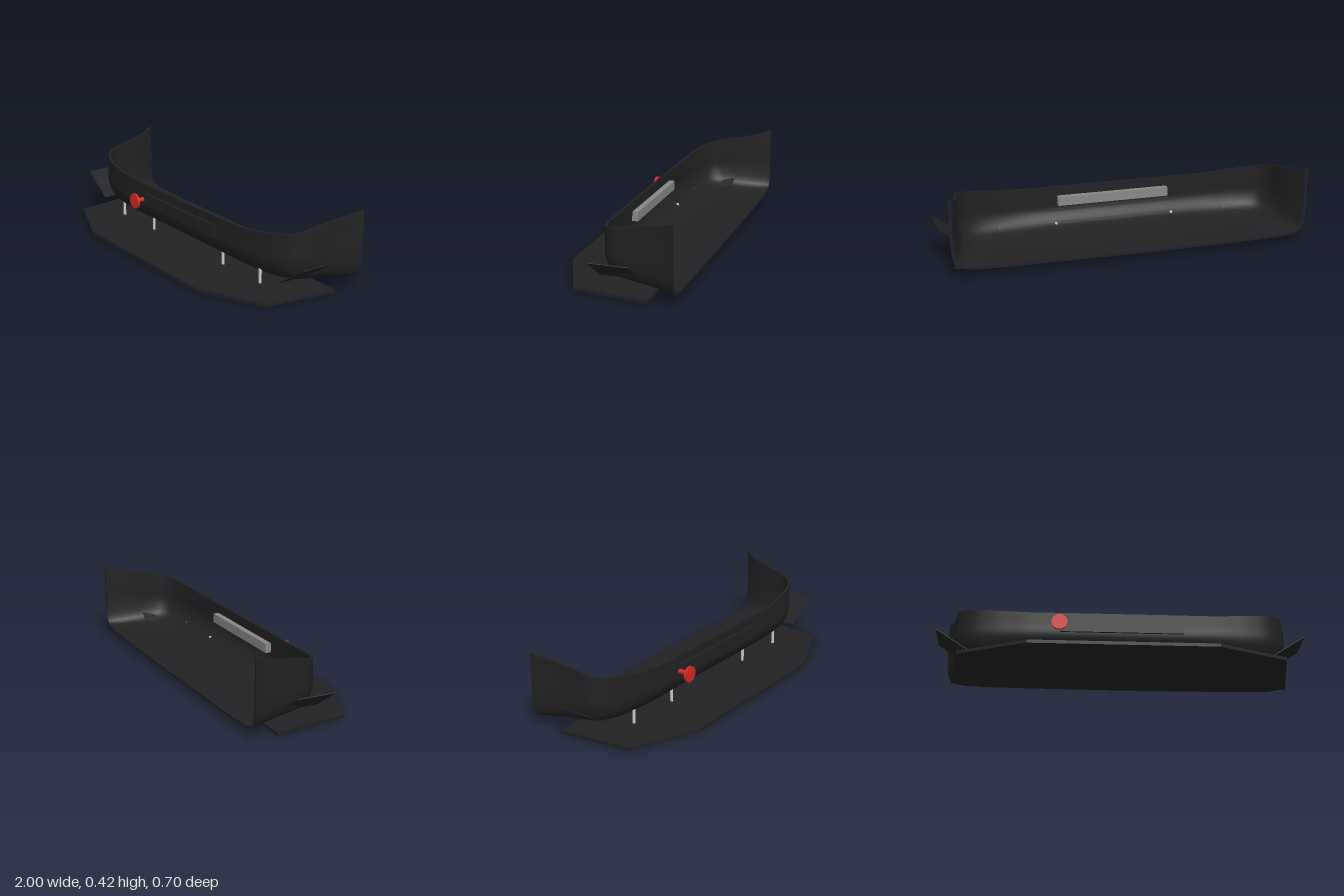
import * as THREE from 'three';
import { toCreasedNormals } from 'three/addons/utils/BufferGeometryUtils.js';

const mat = (color) => new THREE.MeshStandardMaterial({ color });
const black = mat(0x222224);
const grey = mat(0x888888);
const steel = mat(0xcccccc);
const red = mat(0xd82828);
const V = (x, y, z) => new THREE.Vector3(x, y, z);

function add(parent, name, geometry, material, x = 0, y = 0, z = 0) {
  const mesh = new THREE.Mesh(geometry, material);
  mesh.name = name;
  mesh.position.set(x, y, z);
  parent.add(mesh);
  return mesh;
}

// Curved bumper skin: a rim swept round the nose, each column rolling under into the floor
function bumperGeometry() {
  const half = [
    [0.33, 0.297, 0.1], [0.5, 0.298, 0.097], [0.6, 0.305, 0.089], [0.7, 0.315, 0.076],
    [0.8, 0.328, 0.05], [0.86, 0.34, 0.015], [0.893, 0.353, -0.035], [0.905, 0.367, -0.1],
    [0.92, 0.384, -0.2], [0.94, 0.4, -0.275], [0.968, 0.423, -0.35],
  ];
  const rim = new THREE.CatmullRomCurve3([
    ...half.slice().reverse().map(([x, y, z]) => V(-x, y, z)),
    V(0, 0.297, 0.1),
    ...half.map((p) => V(...p)),
  ]);
  // Inset towards the middle of the rear edge, and height, at the nose and at the rear ends
  const noseInset = [0, 0.045, 0.12, 0.23, 0.45, 1], noseY = [0.165, 0.122, 0.087, 0.067, 0.05, 0.035];
  const endInset = [0, 0.012, 0.03, 0.08, 0.18, 1], endY = [0.2, 0.1, 0.07, 0.05, 0.042, 0.035];
  const N = 120, M = 32, thickness = 0.014;
  const outer = [], index = [];
  for (let i = 0; i <= N; i++) {
    const p = rim.getPoint(i / N);
    const w = Math.sqrt(THREE.MathUtils.clamp((0.1 - p.z) / 0.45, 0, 1));
    const mix = (a, b) => a + (b - a) * w;
    const low = mix(noseY[0], endY[0]);
    const pts = [p, V(p.x, (p.y + low) / 2, p.z)];
    noseInset.forEach((r, k) => {
      const s = 1 - mix(r, endInset[k]);
      pts.push(V(p.x * s, mix(noseY[k], endY[k]), -0.35 + (p.z + 0.35) * s));
    });
    outer.push(...new THREE.CatmullRomCurve3(pts).getPoints(M));
  }
  const id = (i, j) => i * (M + 1) + j;
  for (let i = 0; i < N; i++) for (let j = 0; j < M; j++) {
    const a = id(i, j), b = id(i, j + 1), c = id(i + 1, j), d = id(i + 1, j + 1);
    index.push(a, b, c, c, b, d);
  }
  const skin = new THREE.BufferGeometry().setFromPoints(outer);
  skin.setIndex(index);
  skin.computeVertexNormals();

  // Inner skin, offset along the normals
  const normal = skin.attributes.normal, total = outer.length;
  const inner = outer.map((p, k) => {
    const i = Math.floor(k / (M + 1)), j = k % (M + 1);
    const n = V(0, 0, 0).fromBufferAttribute(normal, k);
    if (j === M) n.set(0, -1, 0);
    if (j === 0) n.y = 0;
    if (i === 0 || i === N) n.z = 0;
    const q = p.clone().addScaledVector(n.normalize(), -thickness);
    q.z = Math.max(q.z, -0.35);
    return q;
  });
  const all = index.slice();
  for (let k = 0; k < index.length; k += 3) all.push(index[k] + total, index[k + 2] + total, index[k + 1] + total);
  // Close the top rim and the rear edges
  const bridge = (a, b) => all.push(a, b, a + total, b, b + total, a + total);
  for (let i = 0; i < N; i++) bridge(id(i, 0), id(i + 1, 0));
  for (let j = 0; j < M; j++) {
    bridge(id(0, j + 1), id(0, j));
    bridge(id(N, j), id(N, j + 1));
  }
  const shell = new THREE.BufferGeometry().setFromPoints([...outer, ...inner]);
  shell.setIndex(all);
  return toCreasedNormals(shell, 0.8);
}

export function createModel() {
  const model = new THREE.Group();
  model.name = 'frontBumper';

  add(model, 'bumperShell', bumperGeometry(), black);

  // Flat splitter plate under the bumper
  const outline = [[-0.5, 0.352], [0.5, 0.352], [0.87, 0.195], [0.93, -0.21], [-0.93, -0.21], [-0.87, 0.195]];
  const plate = new THREE.Shape(outline.map(([x, z]) => new THREE.Vector2(x, -z)));
  const splitter = new THREE.ExtrudeGeometry(plate, { depth: 0.018, bevelEnabled: false });
  splitter.rotateX(-Math.PI / 2);
  add(model, 'splitter', splitter, black);

  // Rods holding the splitter
  for (const x of [-0.645, -0.33, 0.33, 0.645]) {
    add(model, 'supportRod', new THREE.CylinderGeometry(0.008, 0.008, 0.09, 16), steel, x, 0.061, 0.043);
  }

  // Sloping side winglets, passing through the shell
  for (const side of [-1, 1]) {
    const winglet = add(model, side > 0 ? 'leftWinglet' : 'rightWinglet',
      new THREE.BoxGeometry(0.214, 0.004, 0.215), black, side * 0.91, 0.14, -0.037);
    winglet.rotation.z = side * Math.atan2(0.12, 0.18);
  }

  // Panel on the nose and the bar behind it
  add(model, 'frontPanel', new THREE.BoxGeometry(0.667, 0.068, 0.018), black, 0.002, 0.216, 0.104);
  add(model, 'crashBar', new THREE.BoxGeometry(0.625, 0.05, 0.034), grey, 0, 0.22, 0.072);

  // Red towing stud
  const stud = new THREE.Group();
  stud.name = 'towStud';
  stud.position.set(-0.335, 0.211, 0);
  const stem = new THREE.CylinderGeometry(0.0125, 0.0125, 0.07, 24).rotateX(Math.PI / 2);
  const disc = new THREE.CylinderGeometry(0.043, 0.043, 0.013, 40).rotateX(Math.PI / 2);
  add(stud, 'towStem', stem, red, 0, 0, 0.13);
  add(stud, 'towDisc', disc, red, 0, 0, 0.167);
  model.add(stud);

  return model;
}
